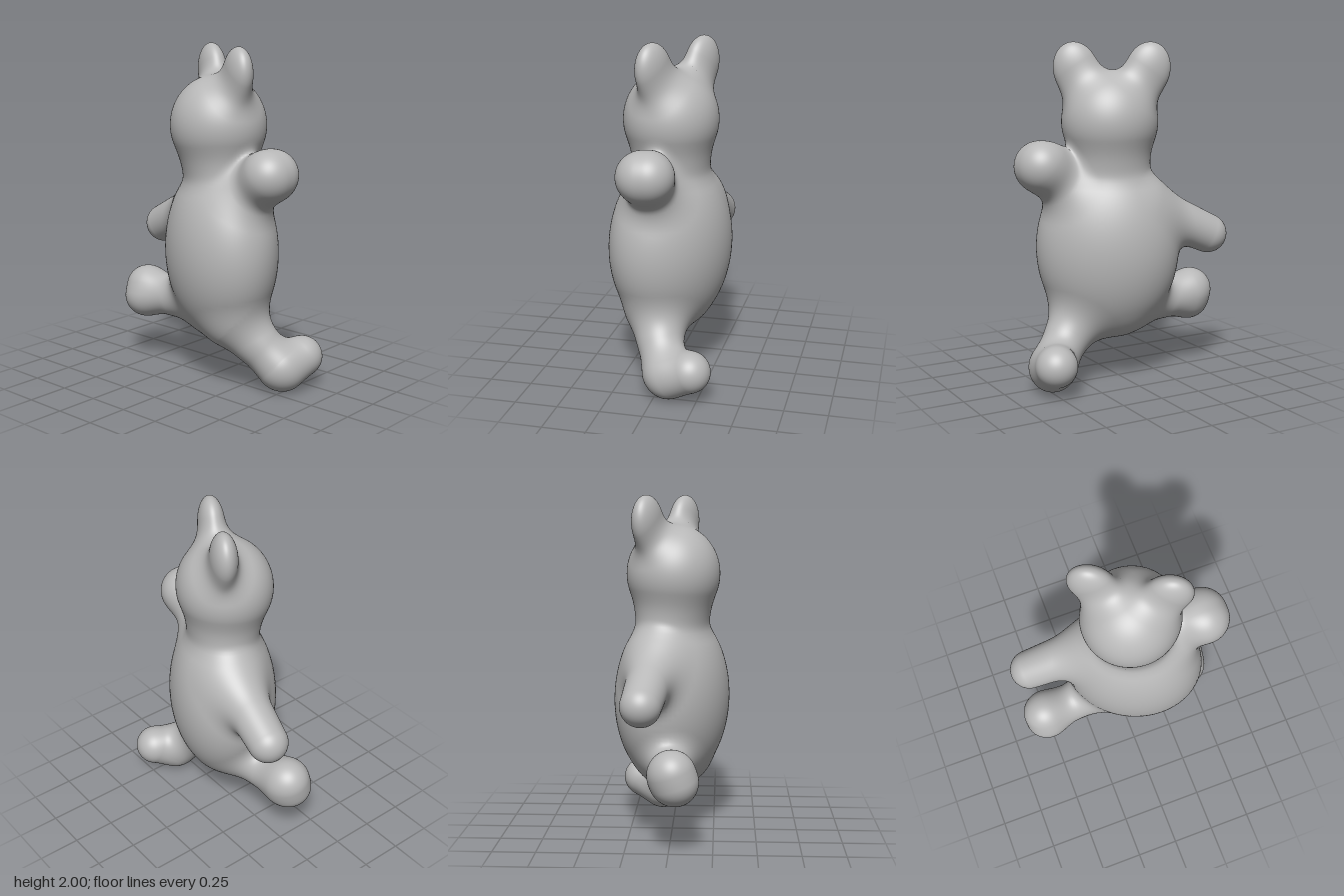
import * as THREE from 'three';

const V = (a) => new THREE.Vector3(...a);
const YAW = -0.46; // the whole figure is turned a little about y
const BLEND = 0.11;

// Egg-shaped part: distance rule and base geometry
function egg(name, centre, radii, yaw = 0, roll = 0) {
  const c = V(centre), r = V(radii);
  const q = new THREE.Quaternion().setFromEuler(new THREE.Euler(0, yaw, roll, 'YXZ'));
  const inv = q.clone().invert();
  const p = new THREE.Vector3(), s = new THREE.Vector3();
  const dist = (x) => {
    p.copy(x).sub(c).applyQuaternion(inv).divide(r);
    const k0 = p.length();
    const k1 = s.copy(p).divide(r).length();
    return k1 < 1e-6 ? -Math.min(...radii) : k0 * (k0 - 1) / k1;
  };
  const geo = () => new THREE.SphereGeometry(1, 80, 60)
    .scale(...radii).applyQuaternion(q).translate(...centre);
  return { name, dist, geo };
}

// Round-ended tapered limb from a (radius ra) to b (radius rb)
function limb(name, a, b, ra, rb) {
  const A = V(a), B = V(b), axis = B.clone().sub(A), len = axis.length();
  const p = new THREE.Vector3();
  const dist = (x) => {
    p.copy(x).sub(A);
    const t = THREE.MathUtils.clamp(p.dot(axis) / (len * len), 0, 1);
    return p.addScaledVector(axis, -t).length() - (ra + (rb - ra) * t);
  };
  const geo = () => {
    const q = new THREE.Quaternion().setFromUnitVectors(V([0, 1, 0]), axis.clone().normalize());
    const mid = A.clone().add(B).multiplyScalar(0.5);
    return new THREE.CapsuleGeometry((ra + rb) / 2, len, 20, 56, 30)
      .applyQuaternion(q).translate(mid.x, mid.y, mid.z);
  };
  return { name, dist, geo };
}

const parts = [
  egg('torso', [0.072, 0.8, 0], [0.422, 0.54, 0.318], YAW),
  egg('neck', [0.06, 1.3, 0], [0.21, 0.14, 0.19], YAW),
  egg('head', [0.053, 1.54, 0.005], [0.284, 0.293, 0.276]),
  egg('rightEar', [-0.118, 1.835, -0.135], [0.13, 0.165, 0.077], YAW, 0.25),
  egg('leftEar', [0.243, 1.835, 0.06], [0.13, 0.165, 0.077], YAW, -0.25),
  limb('rightArm', [-0.13, 1.04, -0.09], [-0.535, 0.85, -0.15], 0.14, 0.117),
  limb('leftArm', [0.27, 1.11, 0.04], [0.46, 1.28, 0.05], 0.13, 0.125),
  limb('leftHand', [0.485, 1.303, 0.027], [0.485, 1.3, 0.075], 0.125, 0.125),
  limb('rightLeg', [0.0, 0.44, -0.02], [-0.48, 0.44, 0.015], 0.13, 0.118),
  limb('rightFoot', [-0.53, 0.412, 0.045], [-0.535, 0.48, 0.022], 0.113, 0.113),
  limb('leftLeg', [0.24, 0.4, 0.045], [0.46, 0.165, -0.05], 0.165, 0.112),
  limb('leftFoot', [0.485, 0.13, -0.09], [0.52, 0.188, -0.212], 0.121, 0.121),
];

// Soft union of all parts
function field(x) {
  let d = 1e3;
  for (const part of parts) {
    const e = part.dist(x);
    const h = Math.max(BLEND - Math.abs(d - e), 0) / BLEND;
    d = Math.min(d, e) - h * h * BLEND / 4;
  }
  return d;
}

const probe = new THREE.Vector3();
function gradient(x, out) {
  const e = 0.004;
  for (const k of ['x', 'y', 'z']) {
    probe.copy(x);
    probe[k] += e;
    const hi = field(probe);
    probe[k] -= 2 * e;
    out[k] = hi - field(probe);
  }
  return out.divideScalar(2 * e);
}

// Push the vertices of a part out to the blended skin; deep ones stay hidden inside
function skin(geo) {
  const pos = geo.attributes.position, nor = geo.attributes.normal;
  const p = new THREE.Vector3(), start = new THREE.Vector3(), g = new THREE.Vector3();
  for (let i = 0; i < pos.count; i++) {
    start.fromBufferAttribute(pos, i);
    p.copy(start);
    const d0 = field(p);
    if (d0 < -0.08) continue;
    for (let n = 0; n < 5; n++) {
      const d = field(p);
      if (Math.abs(d) < 1e-4) break;
      gradient(p, g);
      p.addScaledVector(g, -THREE.MathUtils.clamp(d / Math.max(g.lengthSq(), 0.2), -0.05, 0.05));
    }
    gradient(p, g).normalize();
    nor.setXYZ(i, g.x, g.y, g.z);
    p.lerpVectors(start, p, THREE.MathUtils.smoothstep(d0, -0.08, -0.06));
    pos.setXYZ(i, p.x, p.y, p.z);
  }
  return geo;
}

export function createModel() {
  const model = new THREE.Group();
  model.name = 'toyBear';
  const grey = new THREE.MeshStandardMaterial({ color: 0xb8b8b8 });
  grey.name = 'plainGrey';
  for (const part of parts) {
    const mesh = new THREE.Mesh(skin(part.geo()), grey);
    mesh.name = part.name;
    model.add(mesh);
  }
  return model;
}
